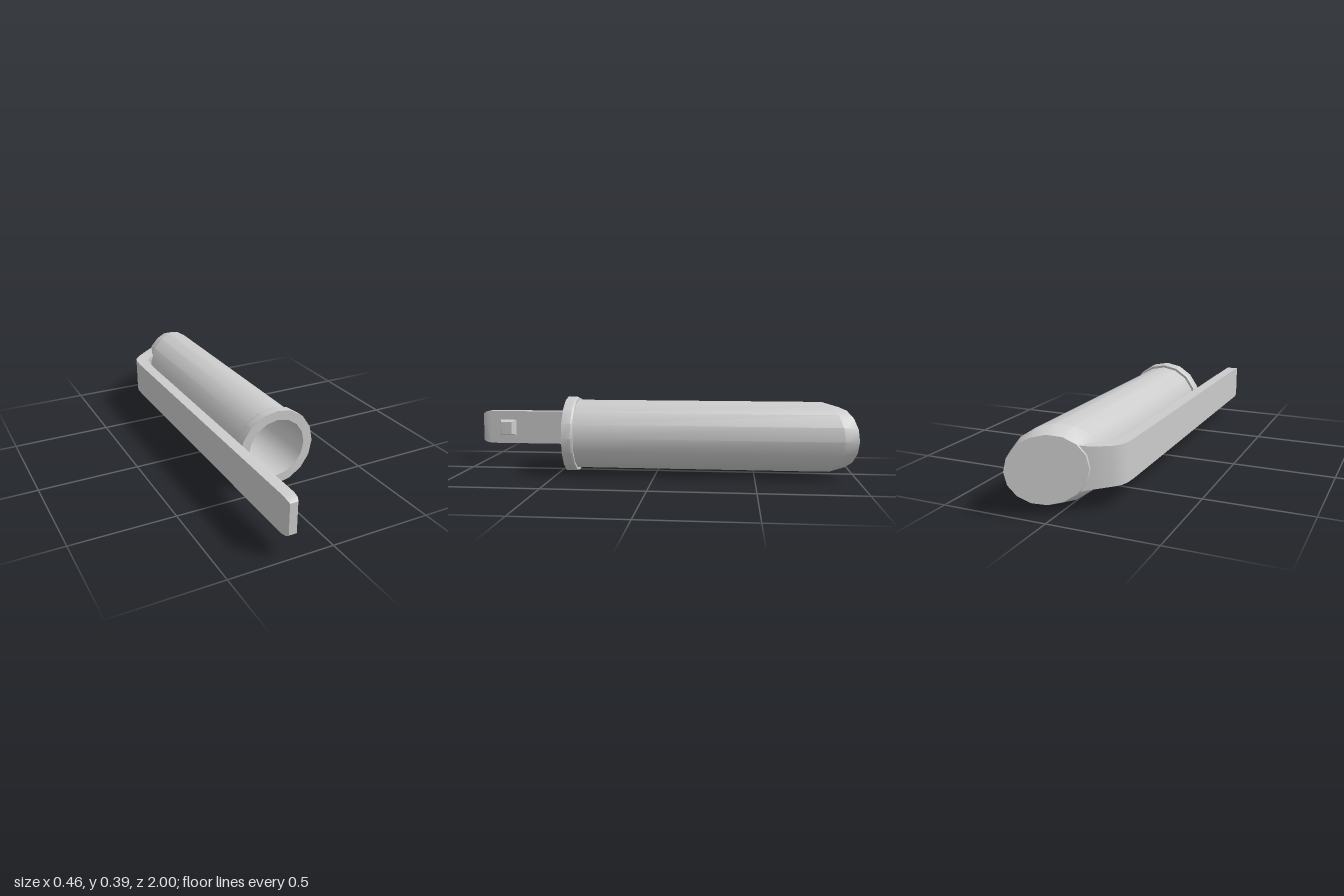
import * as THREE from 'three';
import { toCreasedNormals } from 'three/addons/utils/BufferGeometryUtils.js';

const CX = 0.037, CY = 0.197;   // tube axis
const SLANT = -0.56;            // dz/dx of the cut-off closed end
const SIDES = 16;

// Skin a list of closed sections (arrays of [x, y, z]) and cap both ends.
function loft(sections, crease = 0.6) {
  const n = sections[0].length, last = sections.length - 1;
  const pos = sections.flat(2), index = [];
  for (let s = 0; s < last; s++) {
    for (let i = 0; i < n; i++) {
      const a = s * n + i, b = s * n + (i + 1) % n;
      index.push(a, b, b + n, a, b + n, a + n);
    }
  }
  for (let i = 1; i < n - 1; i++) {
    index.push(0, i + 1, i);
    index.push(last * n, last * n + i, last * n + i + 1);
  }
  // Turn the faces outward if the enclosed volume comes out negative.
  const v = k => new THREE.Vector3().fromArray(pos, k * 3);
  let volume = 0;
  for (let i = 0; i < index.length; i += 3) {
    volume += v(index[i]).dot(v(index[i + 1]).cross(v(index[i + 2])));
  }
  if (volume < 0) index.reverse();
  const geo = new THREE.BufferGeometry();
  geo.setAttribute('position', new THREE.Float32BufferAttribute(pos, 3));
  geo.setIndex(index);
  return toCreasedNormals(geo, crease);
}

// Ring around the tube axis, optionally sheared to follow the slanted end.
function ring(r, z, slant = 0) {
  return Array.from({ length: SIDES }, (_, i) => {
    const a = i / SIDES * Math.PI * 2, dx = r * Math.sin(a);
    return [CX + dx, CY + r * Math.cos(a), z + dx * slant];
  });
}

// Four corners from an outer and an inner [x, z] point and a half height.
const slab = ([xo, zo], [xi, zi], h) => [
  [xo, CY + h, zo], [xi, CY + h, zi], [xi, CY - h, zi], [xo, CY - h, zo],
];

export function createModel() {
  const group = new THREE.Group();
  const material = new THREE.MeshStandardMaterial({ color: 0xcccccc });
  const add = (name, geometry) => {
    const mesh = new THREE.Mesh(geometry, material);
    mesh.name = name;
    group.add(mesh);
  };

  // Hollow tube: slanted end, bevel, wall, rim at the mouth, then the bore
  add('capTube', loft([
    ring(0.153, -0.914, SLANT),
    ring(0.178, -0.829, SLANT),
    ring(0.178, 0.405),
    ring(0.19, 0.405),
    ring(0.195, 0.415),
    ring(0.195, 0.46),
    ring(0.148, 0.46),
    ring(0.148, -0.68),
  ], 0.5));

  // Long clip: chamfered free tip, straight arm, bend into the slanted end
  add('clip', loft([
    slab([-0.225, 1.0], [-0.187, 1.0], 0.075),
    slab([-0.23, 0.985], [-0.18, 0.985], 0.084),
    slab([-0.232, 0.955], [-0.178, 0.955], 0.09),
    slab([-0.232, -0.63], [-0.177, -0.56], 0.09),
    slab([-0.229, -0.69], [-0.172, -0.64], 0.09),
    slab([-0.218, -0.73], [-0.162, -0.685], 0.09),
    slab([-0.193, -0.762], [-0.143, -0.71], 0.09),
    slab([-0.125, -0.816], [-0.1, -0.74], 0.094),
    slab([-0.05, -0.86], [-0.03, -0.78], 0.105),
  ]));

  // Small tapered catch on the inner face of the clip
  const catchRing = (x, h, d) => [[1, 1], [1, -1], [-1, -1], [-1, 1]]
    .map(([sy, sz]) => [x, CY + sy * h, 0.856 + sz * d]);
  add('clipCatch', loft([
    catchRing(-0.185, 0.043, 0.048),
    catchRing(-0.137, 0.033, 0.029),
  ], 0.2));

  return group;
}
